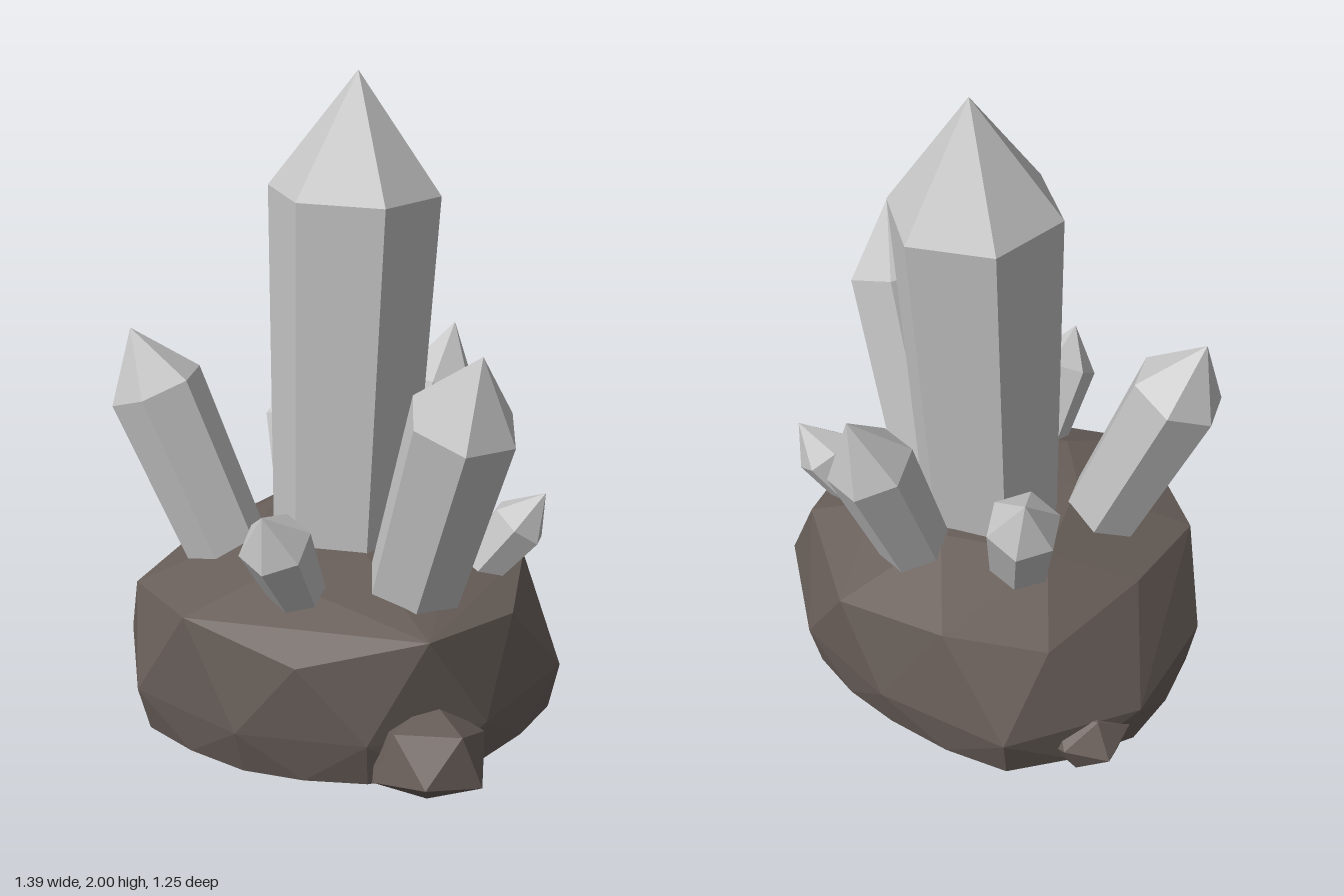
import * as THREE from 'three';
import { ConvexGeometry } from 'three/addons/geometries/ConvexGeometry.js';

const material = (name, color) => {
  const m = new THREE.MeshStandardMaterial({ color, flatShading: true });
  m.name = name;
  return m;
};

export function createModel() {
  const model = new THREE.Group();
  model.name = 'crystalCluster';
  const rockMat = material('brown rock', 0x695f5a);
  const crystalMat = material('pale grey crystal', 0xc4c4c4);

  const add = (name, geometry, mat) => {
    const mesh = new THREE.Mesh(geometry, mat);
    mesh.name = name;
    model.add(mesh);
    return mesh;
  };

  // Faceted boulder: hull of a widest ring, an inset foot, a shoulder ring and a crown
  const widest = [
    [-0.7, -0.23], [-0.66, 0.2], [-0.41, 0.54], [-0.01, 0.62], [0.37, 0.5],
    [0.62, 0.2], [0.68, -0.23], [0.37, -0.53], [0, -0.63], [-0.44, -0.6],
  ];
  const upper = [
    [-0.53, 0.41, 0.35], [-0.2, 0.475, 0.59], [0.17, 0.39, 0.57], [0.5, 0.46, 0.36],
    [0.6, 0.41, -0.02], [0.5, 0.46, -0.33], [0.17, 0.43, -0.6], [-0.2, 0.46, -0.575],
    [-0.48, 0.42, -0.42], [-0.54, 0.43, 0],
  ];
  const crown = [
    [-0.31, 0.55, -0.17], [-0.22, 0.57, 0.15], [0, 0.57, -0.3],
    [0.15, 0.56, 0.1], [0.3, 0.53, -0.25], [-0.05, 0.55, 0.35],
  ];
  const points = [...upper, ...crown].map((p) => new THREE.Vector3(...p));
  widest.forEach(([x, z], i) => {
    points.push(new THREE.Vector3(x, 0.15, z));
    points.push(new THREE.Vector3(x * 0.96, 0, z * 0.93));
    // extra foot corner halfway to the next one
    const [nx, nz] = widest[(i + 1) % widest.length];
    points.push(new THREE.Vector3((x + nx) * 0.495, 0, (z + nz) * 0.48));
  });
  add('boulder', new ConvexGeometry(points), rockMat);

  // Small stones, flattened where they meet the ground
  const stone = (name, [x, y, z], [rx, ry, rz], turn) => {
    const g = new THREE.IcosahedronGeometry(1, 0);
    g.rotateX(0.55).rotateY(turn).scale(rx, ry, rz).translate(x, y, z);
    const p = g.attributes.position;
    for (let i = 0; i < p.count; i++) p.setY(i, Math.max(0, p.getY(i)));
    g.computeVertexNormals();
    add(name, g, rockMat);
  };
  stone('frontStone', [0.51, 0.09, 0.37], [0.19, 0.165, 0.19], 0.4);
  stone('backStone', [-0.57, 0.06, -0.33], [0.135, 0.11, 0.14], 1.1);

  // Six-sided crystal: tapered shaft and pointed tip along the line from foot to apex
  const UP = new THREE.Vector3(0, 1, 0);
  const crystal = (name, foot, apex, footRadius, radius, shoulder, twist) => {
    const a = new THREE.Vector3(...foot);
    const axis = new THREE.Vector3(...apex).sub(a);
    const length = axis.length();
    const profile = [[footRadius, -0.06], [radius, length * shoulder], [0, length]];
    const g = new THREE.LatheGeometry(profile.map((p) => new THREE.Vector2(...p)), 6);
    g.rotateY(twist);
    const mesh = add(name, g, crystalMat);
    mesh.quaternion.setFromUnitVectors(UP, axis.normalize());
    mesh.position.copy(a);
  };
  crystal('mainCrystal', [-0.01, 0.5, -0.05], [0, 2, -0.13], 0.22, 0.265, 0.76, -0.21);
  crystal('leftCrystal', [0.34, 0.52, 0.13], [0.59, 1.32, 0.24], 0.15, 0.17, 0.73, 0.5);
  crystal('rightCrystal', [-0.32, 0.53, 0.16], [-0.6, 1.21, 0.23], 0.13, 0.15, 0.73, 0.3);
  crystal('backCrystal', [0.07, 0.52, -0.34], [0.13, 1.11, -0.57], 0.11, 0.135, 0.68, 0.25);
  crystal('backRightCrystal', [-0.25, 0.52, -0.23], [-0.37, 0.91, -0.39], 0.095, 0.115, 0.68, 0.4);
  crystal('smallLeftCrystal', [0.42, 0.46, -0.17], [0.6, 0.72, -0.25], 0.07, 0.095, 0.6, 0.2);
  crystal('smallFrontCrystal', [0.06, 0.52, 0.36], [0.065, 0.85, 0.57], 0.08, 0.11, 0.65, 0.1);

  return model;
}
